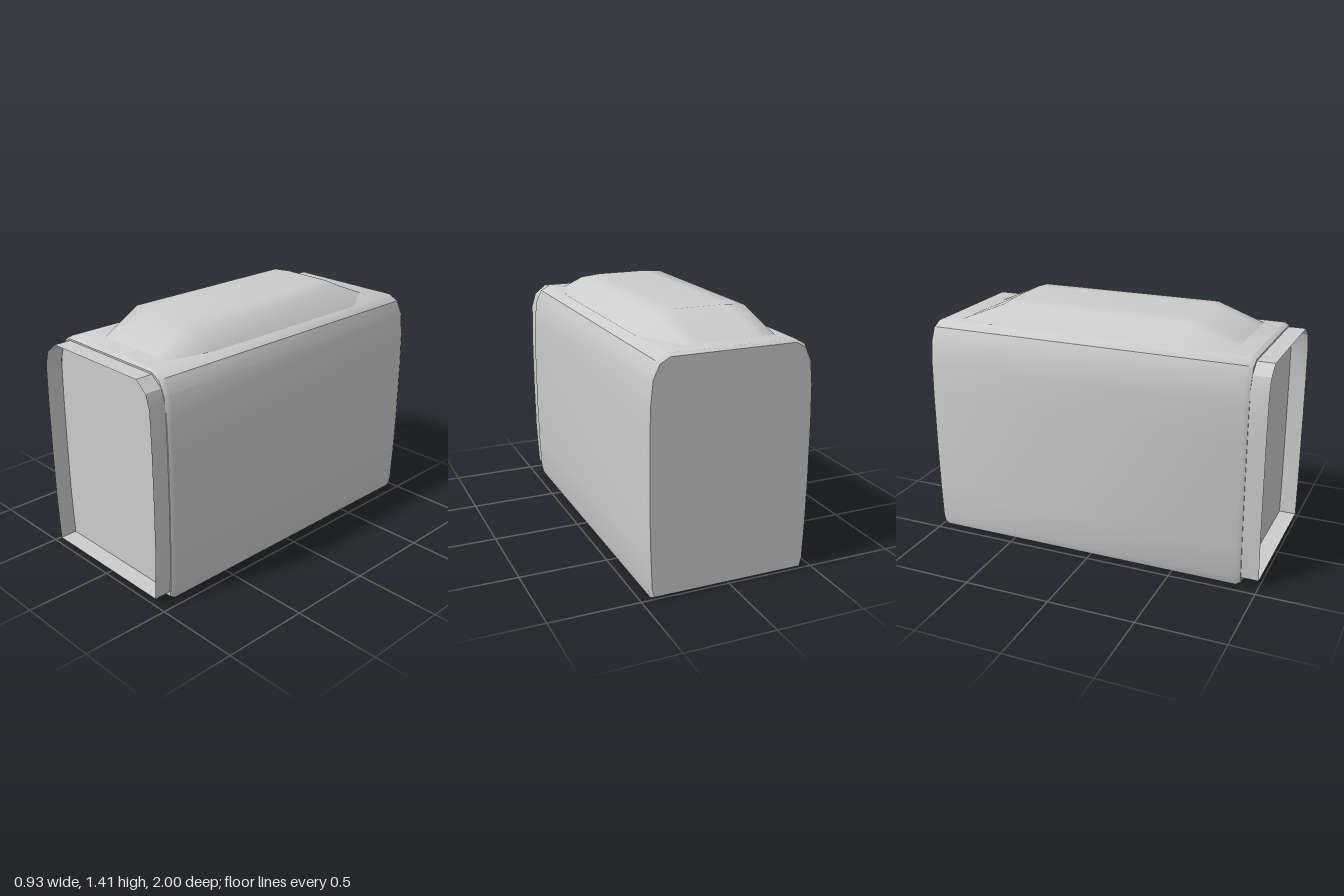
import * as THREE from 'three';
import { toCreasedNormals } from 'three/addons/utils/BufferGeometryUtils.js';

// Mirrors a right-hand profile (bottom to top) into a full outline, right to left
const mirror = (half) => [...half, ...half.slice().reverse().map(([x, y]) => [-x, y])];

// Skins a series of equal-length outlines, each { z, pts }, ordered front to back
function loft(rings, closed) {
  const n = rings[0].pts.length;
  const pos = rings.flatMap(({ z, pts }) => pts.flatMap(([x, y]) => [x, y, z]));
  const idx = [];
  for (let j = 0; j < rings.length - 1; j++) {
    for (let i = 0; i < (closed ? n : n - 1); i++) {
      const k = (i + 1) % n;
      const a = j * n + i, b = j * n + k, c = b + n, d = a + n;
      idx.push(a, c, b, a, d, c);
    }
  }
  const g = new THREE.BufferGeometry();
  g.setAttribute('position', new THREE.Float32BufferAttribute(pos, 3));
  g.setIndex(idx);
  return g;
}

export function createModel() {
  const model = new THREE.Group();
  const grey = new THREE.MeshStandardMaterial({ color: 0xcccccc, side: THREE.DoubleSide });
  grey.name = 'casing grey';

  const add = (name, geometry) => {
    const mesh = new THREE.Mesh(geometry, grey);
    mesh.name = name;
    model.add(mesh);
    return mesh;
  };

  // Rounded casing with a small bevel at both ends
  const outer = mirror([
    [0.44, 0], [0.453, 0.05], [0.461, 0.25], [0.466, 0.5], [0.466, 0.85],
    [0.461, 1.05], [0.447, 1.18], [0.412, 1.255], [0.355, 1.287],
  ]);
  const inset = outer.map(([x, y]) => [x * 0.972, 0.013 + y * 0.98]);
  const casing = loft([
    { z: 0.9, pts: inset }, { z: 0.875, pts: outer },
    { z: -0.975, pts: outer }, { z: -1, pts: inset },
  ], true);
  add('casing', toCreasedNormals(casing, 0.6));

  // Flat end panels
  const panel = new THREE.ShapeGeometry(new THREE.Shape(inset.map(([x, y]) => new THREE.Vector2(x, y))));
  add('frontPanel', panel).position.z = 0.9;
  const back = add('backPanel', panel);
  back.position.z = -1;
  back.rotation.y = Math.PI;

  // Thin open collar standing out around the front panel
  const rim = mirror([
    [0.432, 0.045], [0.445, 0.3], [0.448, 0.6], [0.447, 0.9],
    [0.44, 1.13], [0.415, 1.21], [0.345, 1.265],
  ]);
  add('frontCollar', toCreasedNormals(loft([{ z: 1, pts: rim }, { z: 0.9, pts: rim }], true), 0.6));

  // Raised roof cover sloping down at both ends
  const ridge = mirror([[0.362, 1.287], [0.262, 1.395], [0.15, 1.406]]);
  const foot = mirror([[0.298, 1.287], [0.21, 1.287], [0.12, 1.287]]);
  const roof = loft([
    { z: 0.765, pts: foot }, { z: 0.5, pts: ridge },
    { z: -0.6, pts: ridge }, { z: -0.865, pts: foot },
  ], false);
  roof.computeVertexNormals();
  add('roofCover', roof);

  return model;
}
